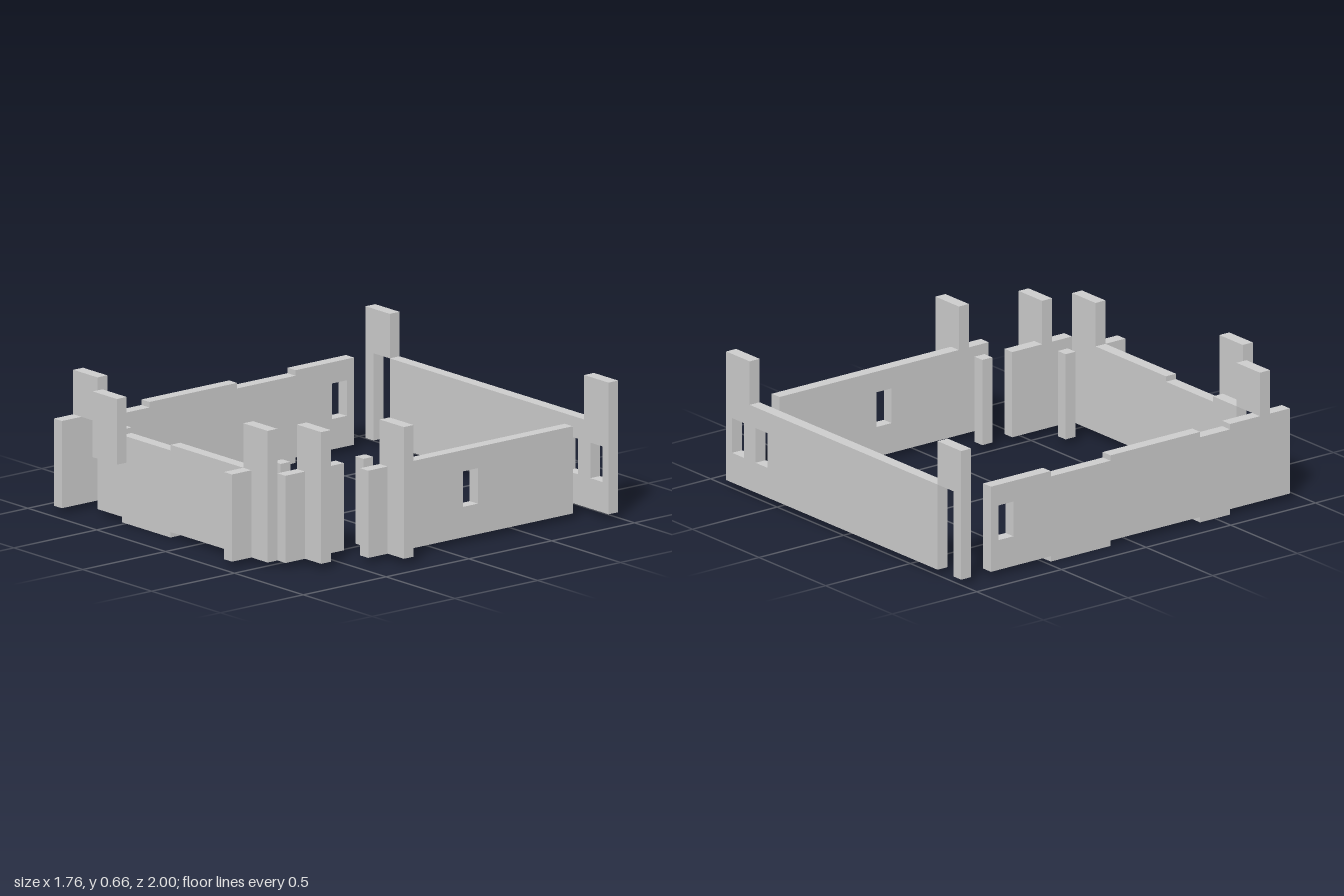
import * as THREE from 'three';

const U = 1 / 17;        // wall thickness; one wall module is 3 U
const BASE = 0.0265;     // underside of the plain walls
const TOP = 0.446;       // top of the plain walls
const HIGH = 0.66;       // top of the tall end panels
const DROP = 0.0265;     // how far a stepped section sits lower
const SILL = 0.173, HEAD = 0.344;

const material = new THREE.MeshStandardMaterial({ color: 0xcccccc, flatShading: true });

// Upright slab cut from an outline in (along, y); lengths along the wall are in U
function slab(name, outline, windows = []) {
  const shape = new THREE.Shape(outline.map(([a, y]) => new THREE.Vector2(a * U, y)));
  for (const c of windows) {
    const l = (c - 0.75) * U, r = (c + 0.75) * U;
    shape.holes.push(new THREE.Path([
      new THREE.Vector2(l, SILL), new THREE.Vector2(l, HEAD),
      new THREE.Vector2(r, HEAD), new THREE.Vector2(r, SILL),
    ]));
  }
  const geometry = new THREE.ExtrudeGeometry(shape, { depth: U, bevelEnabled: false });
  const mesh = new THREE.Mesh(geometry, material);
  mesh.name = name;
  return mesh;
}

// Slab running along x, its back face at z
function alongX(mesh, z) {
  mesh.geometry.translate(0, 0, z * U);
  return mesh;
}

// Slab running along z, its -x face at x
function alongZ(mesh, x) {
  mesh.geometry.rotateY(-Math.PI / 2).translate((x + 1) * U, 0, 0);
  return mesh;
}

const rect = (a, b, y0 = BASE, y1 = TOP) => [[a, y0], [b, y0], [b, y1], [a, y1]];

// Wall outline whose listed sections are shifted down, optionally with a tall far end
function steppedOutline(a, b, drops, tallFrom = null) {
  const bottom = [[a, BASE]], top = [[a, TOP]];
  for (const [s, e] of drops) {
    bottom.push([s, BASE], [s, BASE - DROP], [e, BASE - DROP], [e, BASE]);
    top.push([s, TOP], [s, TOP - DROP], [e, TOP - DROP], [e, TOP]);
  }
  bottom.push([b, BASE]);
  if (tallFrom === null) top.push([b, TOP]);
  else top.push([tallFrom, TOP], [tallFrom, HIGH], [b, HIGH]);
  return bottom.concat(top.reverse());
}

export function createModel() {
  const model = new THREE.Group();
  model.name = 'interlockingWalls';

  model.add(
    // Back wall with a tall windowed end; the other end is a raised panel on a leg
    alongX(slab('backWall', steppedOutline(-12, 15, [], 12), [10.5, 13.5]), -17),
    alongX(slab('backCornerPanel', [
      [-15, BASE], [-14, BASE], [-14, TOP], [-12, TOP], [-12, HIGH], [-15, HIGH],
    ]), -17),

    // Front wall with a tall end, and the raised panel over its corner gap
    alongX(slab('frontWall', steppedOutline(-12, 9, [[-9, -3]], 6), []), 13),
    alongX(slab('frontCornerPanel', rect(-15, -12, TOP, HIGH)), 13),
    alongX(slab('frontHangingPanel', rect(-9, -6, HEAD, HIGH)), 16),

    // Long side walls
    alongZ(slab('rightSideWall', steppedOutline(-14, 16, [[-8, -2], [7, 10]]), [-12.5]), -15),
    alongZ(slab('leftSideWall', rect(-14, 7), [-3.5]), 12),

    // Short return walls of the stepped corner
    alongZ(slab('middleReturnWall', rect(7, 13)), 9),
    alongZ(slab('frontReturnWall', rect(14, 16)), 6),
  );

  // Free posts and tall cross panels stepping around the corner
  for (const [x, z] of [[6, 10], [9, 4]]) {
    model.add(alongX(slab('cornerPost', rect(x, x + 1)), z));
    model.add(alongX(slab('tallCrossPanel', rect(x + 3, x + 6, BASE, HIGH)), z));
  }
  return model;
}
